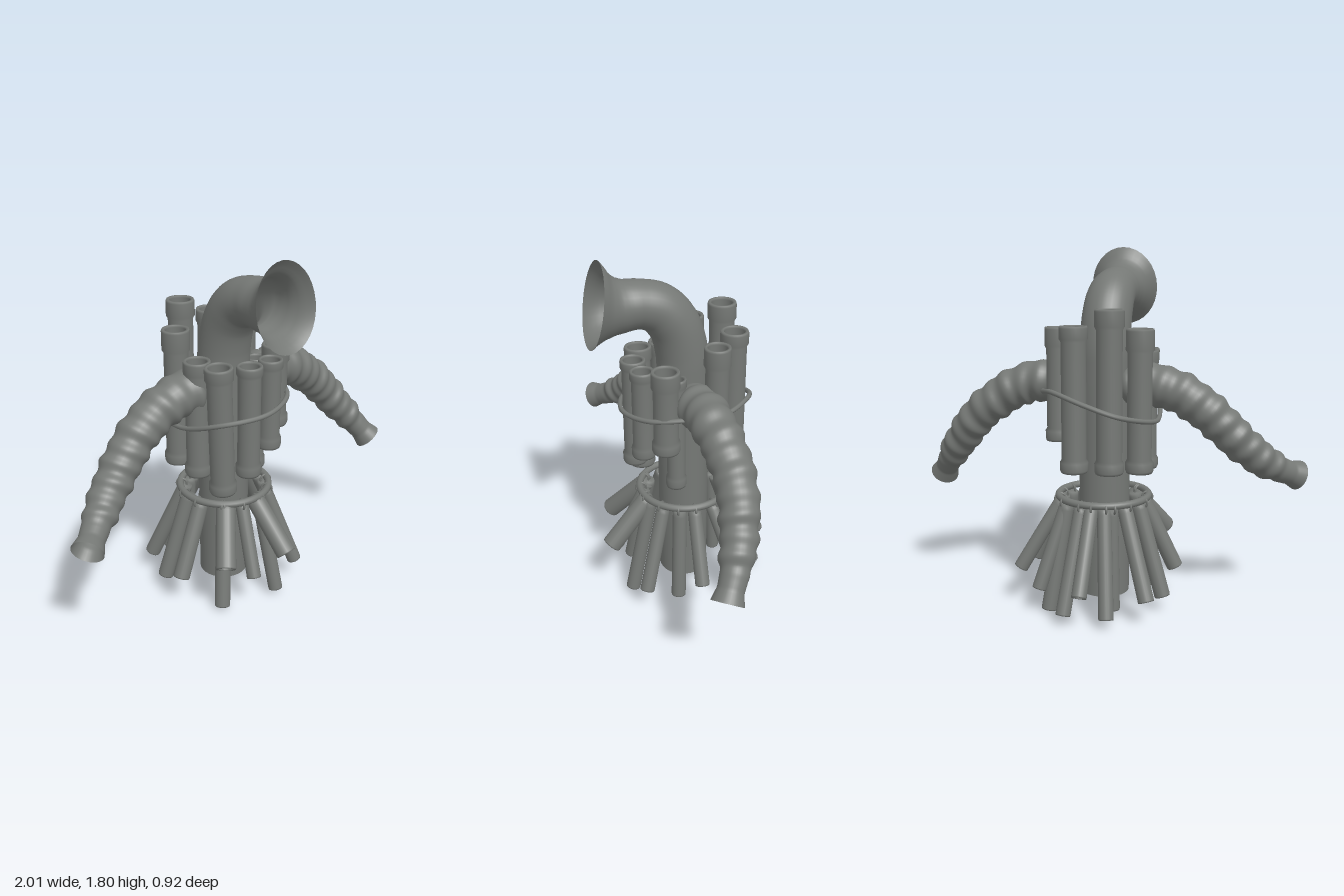
import * as THREE from 'three';
import { mergeVertices } from 'three/addons/utils/BufferGeometryUtils.js';

const V = (p) => new THREE.Vector3(...p);
const metal = new THREE.MeshStandardMaterial({ color: 0x757875, side: THREE.DoubleSide });
metal.name = 'grey metal';

function add(parent, name, geometry) {
  const mesh = new THREE.Mesh(geometry, metal);
  mesh.name = name;
  parent.add(mesh);
  return mesh;
}

// Linear interpolation through [t, value] stops
function ramp(stops, t) {
  for (let i = 1; i < stops.length; i++) {
    const [a, va] = stops[i - 1], [b, vb] = stops[i];
    if (t <= b) return va + (vb - va) * (t - a) / (b - a);
  }
  return stops[stops.length - 1][1];
}

// Open tube along a smooth path; radius(t, angle) gives its surface
function sweep(points, radius, steps, squash = () => 1) {
  const curve = new THREE.CatmullRomCurve3(points.map(V), false, 'centripetal');
  const sides = 32;
  const geo = new THREE.TubeGeometry(curve, steps, 1, sides);
  const pos = geo.attributes.position, nor = geo.attributes.normal;
  for (let i = 0; i <= steps; i++) {
    const t = i / steps, c = curve.getPointAt(t);
    for (let j = 0; j <= sides; j++) {
      const k = i * (sides + 1) + j, r = radius(t, j / sides * Math.PI * 2);
      pos.setXYZ(k, c.x + nor.getX(k) * r * squash(t), c.y + nor.getY(k) * r, c.z + nor.getZ(k) * r);
    }
  }
  geo.deleteAttribute('uv');
  geo.deleteAttribute('normal');
  const smooth = mergeVertices(geo, 1e-5);
  smooth.computeVertexNormals();
  return smooth;
}

// Hollow pipe hanging between two points, with a thin wall at the far end
function hollowPipe(parent, name, from, to, r) {
  const a = V(from), b = V(to), len = a.distanceTo(b);
  const profile = [[0, 0], [r * 0.8, 0], [r * 0.92, 0.015], [r * 0.95, 0.03], [r, len - 0.006], [r * 0.97, len],
    [r * 0.8, len], [r * 0.75, len - 0.01], [r * 0.75, 0.03], [0, 0.03]];
  const mesh = add(parent, name, new THREE.LatheGeometry(profile.map((p) => new THREE.Vector2(...p)), 20));
  mesh.position.copy(a);
  mesh.quaternion.setFromUnitVectors(new THREE.Vector3(0, 1, 0), b.sub(a).normalize());
}

// Upright pipe, open right through, with a collar at each end
function collarPipe(parent, x, z, y0, y1, r, collar, lean = 0) {
  const R = r * 1.14, h = y1 - y0, inner = r * 0.84;
  const profile = [[inner, 0.01], [r * 0.9, 0], [r * 1.05, 0], [R, 0.012], [R, 0.05], [r, 0.065],
    [r, h - collar - 0.015], [R, h - collar], [R, h - 0.01], [R * 0.95, h], [r * 0.9, h],
    [inner, h - 0.01], [inner, 0.01]];
  const mesh = add(parent, 'chestPipe', new THREE.LatheGeometry(profile.map((p) => new THREE.Vector2(...p)), 28));
  mesh.position.set(x, y0, z);
  mesh.rotation.z = lean;
}

export function createModel() {
  const model = new THREE.Group();
  model.name = 'pipeFigure';

  // Trunk that bends forward into a flared horn
  const trunkX = -0.013;
  const trunkPath = [[0.06, 0], [0.7, 0], [1.2, 0], [1.33, 0.008], [1.46, 0.045], [1.55, 0.118],
    [1.583, 0.21], [1.585, 0.31], [1.591, 0.37], [1.601, 0.425]].map(([y, z]) => [trunkX, y, z]);
  const trunkRadius = [[0, 0.126], [0.66, 0.128], [0.8, 0.122], [0.88, 0.114], [0.915, 0.118],
    [0.945, 0.13], [0.97, 0.153], [0.988, 0.182], [1, 0.204]];
  add(model, 'trunkAndHorn', sweep(trunkPath, (t) => ramp(trunkRadius, t), 110,
    (t) => ramp([[0, 1], [0.9, 1], [1, 0.86]], t)));

  // Corrugated hose arms with plain flared cuffs
  const hose = [[0, 0.06], [0.1, 0.09], [0.17, 0.106], [0.4, 0.101], [0.65, 0.092], [0.82, 0.08], [0.9, 0.064],
    [0.95, 0.06], [1, 0.075]];
  const armRadius = (t, a) => {
    const fade = ramp([[0, 1], [0.86, 1], [0.91, 0], [1, 0]], t);
    return ramp(hose, t) + fade * (0.005 * Math.sin(t * 84 + Math.sin(a)) + 0.003 * Math.sin(t * 47 + a));
  };
  add(model, 'leftArm', sweep([[0.03, 1.11, 0], [0.28, 1.135, 0], [0.4, 1.12, -0.003], [0.53, 1.05, -0.013],
    [0.65, 0.955, -0.01], [0.76, 0.825, 0.02], [0.86, 0.7, 0.075], [0.94, 0.585, 0.142]], armRadius, 150));
  add(model, 'rightArm', sweep([[-0.03, 1.11, 0], [-0.26, 1.135, 0], [-0.4, 1.095, 0.003], [-0.54, 1.0, 0.012],
    [-0.67, 0.873, 0.043], [-0.78, 0.775, 0.095], [-0.87, 0.712, 0.16], [-0.958, 0.668, 0.235]], armRadius, 150));

  // Upright pipes around the chest: x, z, bottom, top, radius, collar height, lean
  const chest = new THREE.Group();
  chest.name = 'chestPipes';
  model.add(chest);
  [
    [-0.16, 0.175, 0.645, 1.3, 0.06, 0.06, 0.04],
    [-0.055, 0.24, 0.735, 1.295, 0.055, 0.04],
    [0.08, 0.235, 0.84, 1.295, 0.052, 0.04],
    [0.185, 0.155, 0.905, 1.325, 0.06, 0.08],
    [0.125, 0.085, 0.66, 1.25, 0.045, 0.04],
    [0.2, -0.092, 0.855, 1.415, 0.056, 0.09],
    [0.08, -0.225, 0.73, 1.43, 0.06, 0.06],
    [-0.095, -0.23, 0.735, 1.51, 0.062, 0.08],
    [-0.215, -0.11, 0.72, 1.415, 0.06, 0.1],
    [-0.21, 0.045, 0.71, 1.3, 0.058, 0.06],
  ].forEach((p) => collarPipe(chest, ...p));

  // Wire strap looped around the chest pipes
  const strap = new THREE.CatmullRomCurve3([[-0.285, 0.97, 0.02], [-0.22, 1.035, 0.23], [0, 1.06, 0.315],
    [0.19, 1.085, 0.24], [0.268, 1.1, 0.06], [0.275, 1.1, -0.1], [0.17, 1.12, -0.27], [0, 1.07, -0.315],
    [-0.15, 1.02, -0.295], [-0.27, 0.98, -0.16]].map(V), true);
  add(model, 'wireStrap', new THREE.TubeGeometry(strap, 90, 0.012, 8, true));

  // Skirt ring
  const skirt = new THREE.Group();
  skirt.name = 'skirt';
  model.add(skirt);
  const ring = add(skirt, 'skirtRing', new THREE.TorusGeometry(0.228, 0.018, 12, 56));
  ring.rotation.x = Math.PI / 2;
  ring.position.set(-0.008, 0.567, 0);

  // Skirt pipes fanning out below the ring: far end and radius
  [
    [0, 0.175, -0.43, 0.037], [-0.115, 0.05, -0.365, 0.037], [0.1, 0.05, -0.365, 0.037],
    [-0.29, 0.12, -0.27, 0.04], [0.215, 0.013, -0.225, 0.04], [0.255, 0.13, -0.26, 0.036],
    [0.385, 0.195, -0.165, 0.037], [0.365, 0.19, 0.03, 0.037], [0.24, 0.055, 0.115, 0.037],
    [0.24, 0.13, 0.285, 0.037], [0.05, 0.315, 0.415, 0.05], [-0.1, 0.2, 0.345, 0.036],
    [-0.27, 0.315, 0.33, 0.05], [-0.365, 0.18, 0.09, 0.042], [-0.335, 0.085, -0.09, 0.04],
    [-0.215, 0.02, 0.235, 0.04], [0.08, 0.035, 0.315, 0.037], [-0.11, 0.04, -0.21, 0.035],
  ].forEach(([x, y, z, r]) => {
    const d = Math.hypot(x, z), cx = x / d, cz = z / d;
    hollowPipe(skirt, 'skirtPipe', [cx * 0.205, 0.545, cz * 0.205], [x, y, z], r);
    // Hook holding the pipe to the ring
    const hook = add(skirt, 'hook', new THREE.TorusGeometry(0.026, 0.006, 6, 16));
    hook.position.set(cx * 0.222 - 0.008, 0.553, cz * 0.222);
    hook.rotation.y = -Math.atan2(cz, cx);
  });

  return model;
}
